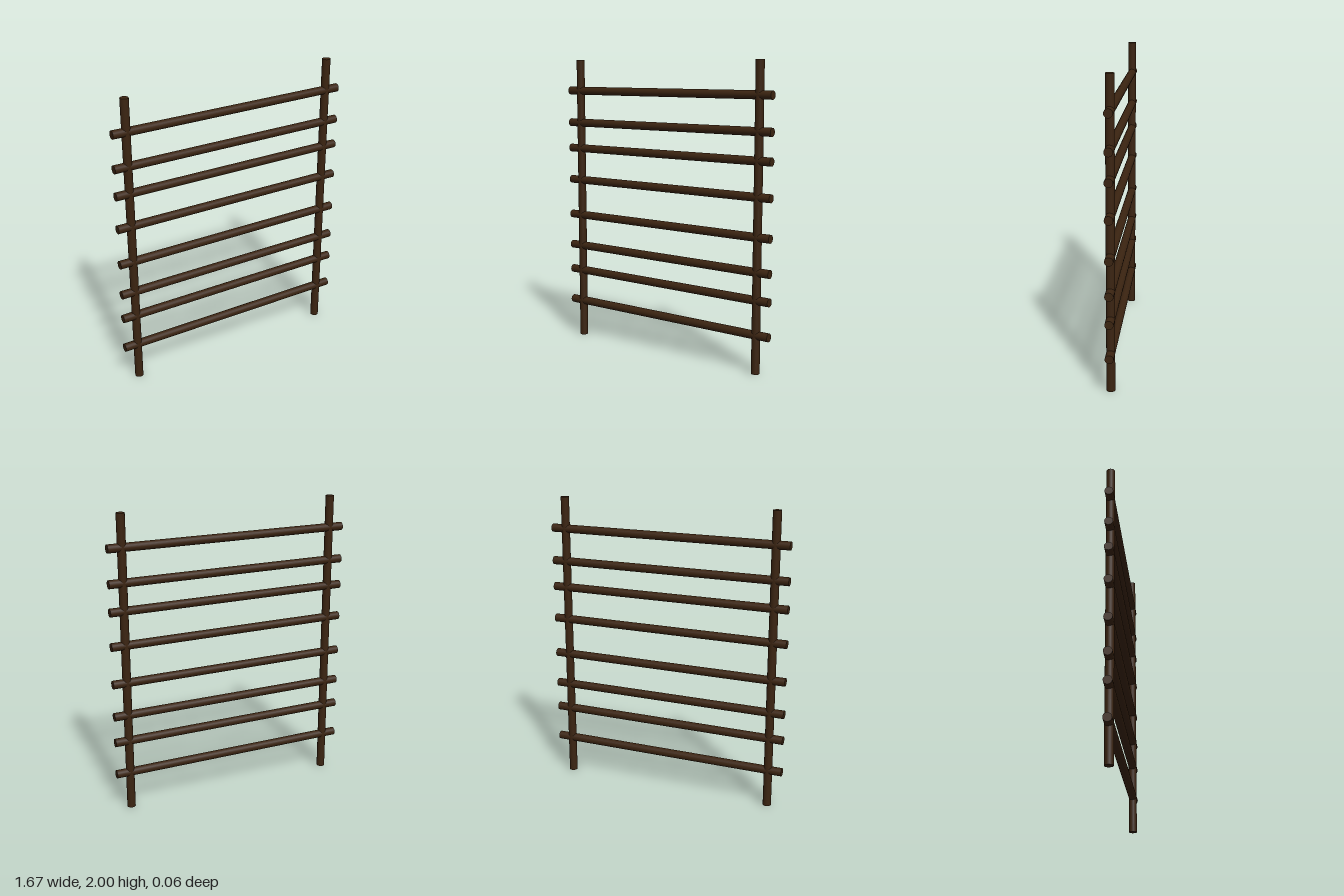
import * as THREE from 'three';

const RADIUS = 0.028;
const RUNG_HEIGHTS = [0.255, 0.483, 0.666, 0.891, 1.146, 1.374, 1.557, 1.783];

export function createModel() {
  const model = new THREE.Group();
  model.name = 'ladder';

  const wood = new THREE.MeshStandardMaterial({ color: 0x3b2411 });
  wood.name = 'dark wood';

  // Upright poles
  const postGeometry = new THREE.CylinderGeometry(RADIUS, RADIUS, 2, 20);
  for (const side of [-1, 1]) {
    const post = new THREE.Mesh(postGeometry, wood);
    post.name = side > 0 ? 'leftPost' : 'rightPost';
    post.position.set(side * 0.74, 1, 0);
    model.add(post);
  }

  // Unevenly spaced rungs passing through the posts
  const rungGeometry = new THREE.CylinderGeometry(RADIUS, RADIUS, 1.672, 20).rotateZ(Math.PI / 2);
  RUNG_HEIGHTS.forEach((y, i) => {
    const rung = new THREE.Mesh(rungGeometry, wood);
    rung.name = `rung${i + 1}`;
    rung.position.y = y;
    model.add(rung);
  });

  return model;
}
